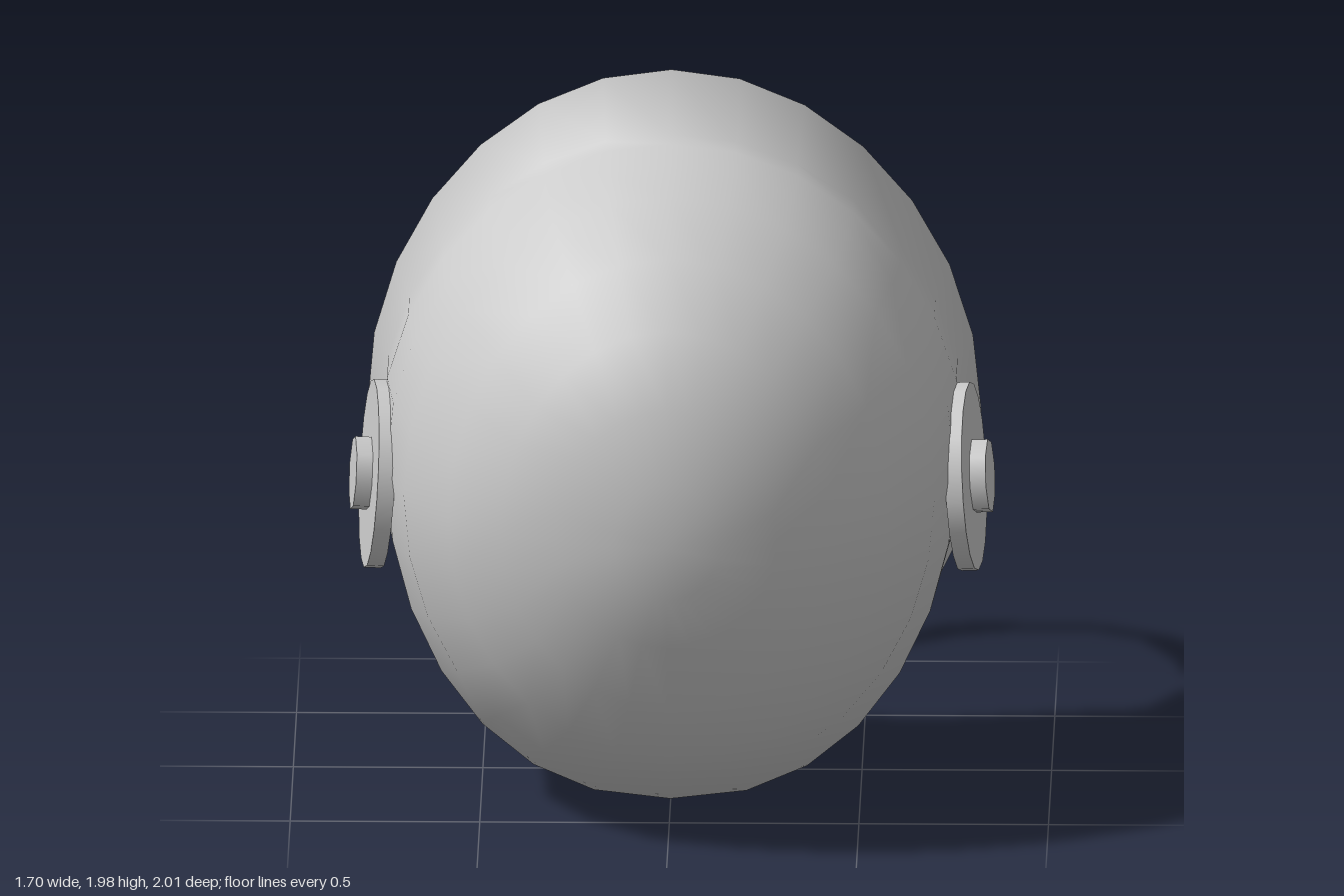
import * as THREE from 'three';
import { toCreasedNormals } from 'three/addons/utils/BufferGeometryUtils.js';

const MID_Y = 0.91;
const SEGMENTS = 28;

// Joins closed cross-sections of equal point count into one surface.
function skin(rings, crease) {
  const n = rings[0].length, index = [];
  for (let k = 0; k < rings.length - 1; k++) {
    for (let i = 0; i < n; i++) {
      const a = k * n + i, b = k * n + (i + 1) % n;
      index.push(a, b, a + n, b, b + n, a + n);
    }
  }
  const geometry = new THREE.BufferGeometry().setFromPoints(rings.flat());
  geometry.setIndex(index);
  return toCreasedNormals(geometry, crease);
}

// One ring of the shell, from its top, side and bottom points.
function shellRing([zTop, yTop, zSide, xSide, zBottom, yBottom]) {
  const points = [];
  const bulge = Math.pow(xSide / 0.8, 4);
  for (let i = 0; i < SEGMENTS; i++) {
    const a = (i / SEGMENTS) * Math.PI * 2;
    const c = Math.cos(a), s = Math.sin(a), h = Math.abs(c);
    const upper = c > 0;
    const x = xSide * Math.sign(s) * Math.pow(Math.abs(s), upper ? 1 : 1 - 0.16 * bulge);
    const y = MID_Y + ((upper ? yTop : yBottom) - MID_Y) * h;
    let z = zSide + ((upper ? zTop : zBottom) - zSide) * h;
    z += bulge * (upper ? 0.48 * h * h * (1 - h) * 0.25 * 4 * 0.3 : -0.05 * Math.sin(Math.PI * h));
    points.push(new THREE.Vector3(x, y, z));
  }
  return points;
}

// Point on the tilted plane in which the strap lies.
const onStrap = (x, z) => new THREE.Vector3(x, 1 + 0.52 * (-0.48 - z), z);
const STRAP_UP = new THREE.Vector3(0, 0.89, 0.46).normalize();

// Flat band along a path of [x, z, half width] stations.
function band(stations, thickness) {
  const centres = stations.map(([x, z]) => onStrap(x, z));
  const rings = centres.map((p, i) => {
    const before = centres[Math.max(i - 1, 0)];
    const after = centres[Math.min(i + 1, centres.length - 1)];
    const out = after.clone().sub(before).normalize().cross(STRAP_UP);
    return [[1, -1], [1, 1], [-1, 1], [-1, -1]].map(([u, o]) => p.clone()
      .addScaledVector(STRAP_UP, u * stations[i][2])
      .addScaledVector(out, o * thickness / 2));
  });
  const cap = (p) => [0, 1, 2, 3].map(() => p.clone());
  return skin([cap(centres[0]), ...rings, cap(centres.at(-1))], 0.7);
}

export function createModel() {
  const model = new THREE.Group();
  const material = new THREE.MeshStandardMaterial({ color: 0xcccccc });
  const add = (name, geometry, parent = model) => {
    const mesh = new THREE.Mesh(geometry, material);
    mesh.name = name;
    parent.add(mesh);
    return mesh;
  };

  // Shell: outside from the front pole, flared lip, then back along the inside
  const outer = [
    [1, MID_Y, 1, 0, 1, MID_Y],
    [0.99, 1.08, 0.985, 0.14, 0.985, 0.76],
    [0.95, 1.27, 0.94, 0.29, 0.95, 0.62],
    [0.85, 1.46, 0.86, 0.44, 0.87, 0.43],
    [0.68, 1.61, 0.74, 0.58, 0.77, 0.27],
    [0.51, 1.73, 0.53, 0.7, 0.6, 0.15],
    [0.38, 1.78, 0.3, 0.75, 0.36, 0.03],
    [0.29, 1.81, 0.05, 0.77, 0, 0.03],
    [0.25, 1.825, -0.19, 0.77, -0.29, 0.06],
  ];
  const lip = [
    [0.17, 1.98, -0.29, 0.81, -0.38, 0.005],
    [0.14, 1.9, -0.32, 0.775, -0.395, 0.05],
  ];
  const inner = outer.map(([zt, yt, zs, xs, zb, yb]) => [
    zt - 0.04, MID_Y + (yt - MID_Y) * 0.95,
    zs - 0.04, xs * 0.95,
    zb - 0.04, MID_Y + (yb - MID_Y) * 0.95,
  ]).reverse();
  add('shell', skin([...outer, ...lip, ...inner].map(shellRing), 0.85));

  // Round side plates with knobs
  for (const side of [1, -1]) {
    const pivot = new THREE.Group();
    pivot.name = side > 0 ? 'leftPivot' : 'rightPivot';
    pivot.position.set(side * 0.776, 0.855, 0.14);
    pivot.rotation.set(0, -side * 0.1, side * 0.07);
    add('pivotPlate', new THREE.CylinderGeometry(0.25, 0.25, 0.045, 18).rotateZ(Math.PI / 2), pivot);
    const knob = add('knob', new THREE.CylinderGeometry(0.1, 0.1, 0.08, 8).rotateZ(Math.PI / 2), pivot);
    knob.position.x = side * 0.025;
    model.add(pivot);
  }

  // Strap, widening into a triangular tab at each end
  add('strap', band([
    [0.69, -0.13, 0.235], [0.635, -0.45, 0.06], [0.58, -0.55, 0.045],
    [0.5, -0.68, 0.045], [0.33, -0.86, 0.045], [0.12, -0.945, 0.045],
    [-0.1, -0.945, 0.045], [-0.23, -0.905, 0.045], [-0.35, -0.82, 0.045],
    [-0.5, -0.65, 0.045], [-0.58, -0.53, 0.045], [-0.635, -0.43, 0.06],
    [-0.69, -0.13, 0.235],
  ], 0.035));

  // Loose end of the strap
  add('strapTail', band([
    [-0.1, -0.955, 0.04], [-0.2, -0.935, 0.04], [-0.3, -0.895, 0.04],
    [-0.38, -0.9, 0.04], [-0.43, -0.925, 0.036], [-0.465, -0.945, 0.02],
  ], 0.025));

  // Buckle: a rectangular frame with a prong
  const rectangle = (Type, w, h) => new Type([
    [-w, -h], [w, -h], [w, h], [-w, h]].map(([x, y]) => new THREE.Vector2(x, y)));
  const frame = rectangle(THREE.Shape, 0.075, 0.07);
  frame.holes.push(rectangle(THREE.Path, 0.052, 0.047));
  const buckle = new THREE.Group();
  buckle.name = 'buckle';
  add('buckleFrame', new THREE.ExtrudeGeometry(frame, { depth: 0.05, bevelEnabled: false })
    .translate(0, 0, -0.025), buckle);
  add('buckleProng', new THREE.BoxGeometry(0.12, 0.014, 0.012), buckle).position.z = -0.024;
  const along = onStrap(-0.1, -0.955).sub(onStrap(-0.25, -0.91)).normalize();
  const across = STRAP_UP.clone().addScaledVector(along, -along.dot(STRAP_UP)).normalize();
  buckle.quaternion.setFromRotationMatrix(new THREE.Matrix4()
    .makeBasis(along, across, along.clone().cross(across)));
  buckle.position.copy(onStrap(-0.175, -0.935));
  model.add(buckle);

  return model;
}
